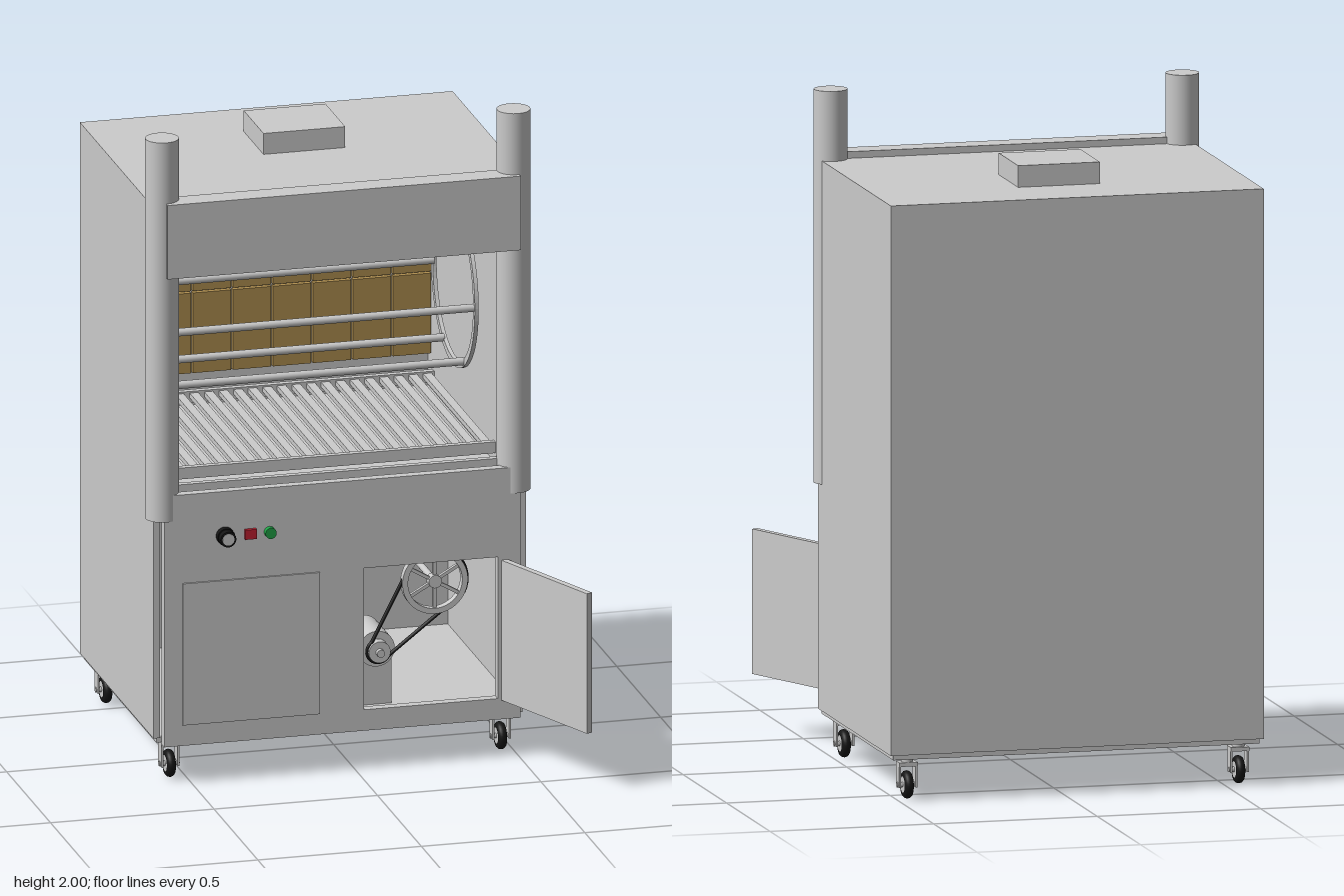
import * as THREE from 'three';

const mat = (color) => new THREE.MeshStandardMaterial({ color });
const GREY = mat(0xcccccc), BRICK = mat(0xb08f50), BLACK = mat(0x151515);
const RED = mat(0xc02030), GREEN = mat(0x20a045);

function add(parent, name, geo, x = 0, y = 0, z = 0, material = GREY) {
  const m = new THREE.Mesh(geo, material);
  m.name = name;
  m.position.set(x, y, z);
  parent.add(m);
  return m;
}

// box given by its limits on each axis
function slab(parent, name, [x0, x1], [y0, y1], [z0, z1], material = GREY) {
  return add(parent, name, new THREE.BoxGeometry(x1 - x0, y1 - y0, z1 - z0),
    (x0 + x1) / 2, (y0 + y1) / 2, (z0 + z1) / 2, material);
}

// cylinders lying along x or z
const alongZ = (r, len, n = 32) => new THREE.CylinderGeometry(r, r, len, n).rotateX(Math.PI / 2);
const alongX = (r, len, n = 24) => new THREE.CylinderGeometry(r, r, len, n).rotateZ(Math.PI / 2);

function rectPath(Type, x0, x1, y0, y1) {
  const p = new Type();
  p.moveTo(x0, y0);
  p.lineTo(x1, y0);
  p.lineTo(x1, y1);
  p.lineTo(x0, y1);
  p.closePath();
  return p;
}

function ring(outer, inner, depth) {
  const s = new THREE.Shape().absarc(0, 0, outer, 0, Math.PI * 2);
  s.holes.push(new THREE.Path().absarc(0, 0, inner, 0, Math.PI * 2, true));
  return new THREE.ExtrudeGeometry(s, { depth, bevelEnabled: false, curveSegments: 40 })
    .translate(0, 0, -depth / 2);
}

function buildCabinet(g) {
  slab(g, 'leftWall', [0.51, 0.53], [0.14, 1.77], [-0.62, 0.22]);
  slab(g, 'rightWall', [-0.61, -0.59], [0.14, 1.77], [-0.62, 0.22]);
  slab(g, 'backWall', [-0.59, 0.51], [0.14, 1.77], [-0.62, -0.6]);
  slab(g, 'roof', [-0.61, 0.53], [1.77, 1.79], [-0.62, 0.22]);
  slab(g, 'basePlate', [-0.6, 0.52], [0.125, 0.142], [-0.61, 0.215]);
  slab(g, 'fireboxFloor', [-0.59, 0.51], [0.87, 0.89], [-0.6, 0.22]);
  slab(g, 'fireboxLeftLining', [0.45, 0.51], [0.89, 1.77], [-0.6, 0.2]);
  slab(g, 'fireboxRightLining', [-0.59, -0.53], [0.89, 1.77], [-0.6, 0.2]);
  slab(g, 'hood', [-0.58, 0.5], [1.58, 1.81], [0.195, 0.27]);
  slab(g, 'chimney', [-0.165, 0.085], [1.79, 1.855], [-0.41, -0.185]);
  for (const x of [-0.58, 0.495])
    add(g, 'column', new THREE.CylinderGeometry(0.05, 0.05, 1.18, 48), x, 1.41, 0.205);

  // front panel with the service opening
  const s = rectPath(THREE.Shape, -0.585, 0.505, 0.12, 0.9);
  s.holes.push(rectPath(THREE.Path, 0.025, 0.435, 0.185, 0.625));
  add(g, 'frontPanel', new THREE.ExtrudeGeometry(s, { depth: 0.03, bevelEnabled: false }), 0, 0, 0.22);
  slab(g, 'closedDoor', [-0.53, -0.11], [0.185, 0.625], [0.245, 0.256]);

  // open door, hinged on its left edge
  const hinge = new THREE.Group();
  hinge.name = 'openDoor';
  hinge.position.set(0.455, 0, 0.25);
  hinge.rotation.y = -Math.atan2(0.37, 0.16);
  slab(hinge, 'doorPanel', [0, 0.405], [0.18, 0.615], [-0.01, 0.01]);
  g.add(hinge);
}

function buildFirebox(g) {
  // brick back lining
  slab(g, 'brickBacking', [-0.53, 0.45], [1.0, 1.765], [-0.6, -0.572]);
  const w = 0.98 / 8, h = 0.255;
  for (let r = 0; r < 3; r++)
    for (let c = 0; c < 8; c++)
      add(g, 'brick', new THREE.BoxGeometry(w - 0.006, h - 0.006, 0.03),
        -0.53 + w * (c + 0.5), 1 + h * (r + 0.5), -0.57, BRICK);

  // grill with slats running front to back
  for (const z of [0.155, -0.54])
    slab(g, 'grillRail', [-0.53, 0.45], [0.92, 0.955], [z - 0.01, z + 0.01]);
  for (let i = 0; i < 22; i++) {
    const x = -0.508 + i * 0.0446;
    slab(g, 'grillSlat', [x - 0.013, x + 0.013], [0.935, 0.95], [-0.54, 0.155]);
  }
  slab(g, 'dripLip', [-0.53, 0.45], [0.89, 0.915], [0.18, 0.2]);

  // turning rack: two rings joined by six bars
  const rack = new THREE.Group();
  rack.name = 'turningRack';
  rack.position.set(-0.04, 1.33, -0.21);
  for (const x of [-0.467, 0.467])
    add(rack, 'rackRing', ring(0.25, 0.23, 0.012).rotateY(Math.PI / 2), x);
  for (let i = 0; i < 6; i++) {
    const a = i * Math.PI / 3;
    add(rack, 'rackBar', alongX(0.012, 0.93, 16), 0, 0.235 * Math.sin(a), 0.235 * Math.cos(a));
  }
  g.add(rack);
}

function buildDrive(g) {
  const A = new THREE.Vector2(0.105, 0.32), B = new THREE.Vector2(0.275, 0.525), z = 0.12;
  const rA = 0.035, rB = 0.1;

  // spoked pulley
  const pulley = new THREE.Group();
  pulley.name = 'spokedPulley';
  pulley.position.set(B.x, B.y, z);
  add(pulley, 'rim', ring(rB, 0.083, 0.025));
  add(pulley, 'hub', alongZ(0.02, 0.03));
  add(pulley, 'shaft', alongZ(0.01, 0.2), 0, 0, -0.09);
  for (let i = 0; i < 6; i++) {
    const a = i * Math.PI / 3 + Math.PI / 6;
    const spoke = add(pulley, 'spoke', new THREE.BoxGeometry(0.07, 0.01, 0.012),
      0.052 * Math.cos(a), 0.052 * Math.sin(a), 0);
    spoke.rotation.z = a;
  }
  g.add(pulley);

  // motor
  add(g, 'motorBody', alongZ(0.055, 0.16), A.x, A.y, z - 0.1);
  add(g, 'motorPulley', alongZ(0.033, 0.03), A.x, A.y, z);
  add(g, 'motorShaft', alongZ(0.012, 0.06), A.x, A.y, z);
  slab(g, 'motorMount', [A.x - 0.05, A.x + 0.05], [0.142, 0.28], [z - 0.16, z - 0.04]);

  // belt: two arcs joined by tangents
  const d = B.clone().sub(A), phi = d.angle(), t = Math.acos((rB - rA) / d.length());
  const pts = [];
  const arc = (c, r, a0, a1) => {
    for (let i = 0; i <= 16; i++) {
      const a = a0 + (a1 - a0) * i / 16;
      pts.push(new THREE.Vector3(c.x + r * Math.cos(a), c.y + r * Math.sin(a), z));
    }
  };
  arc(B, rB, phi - t, phi + t);
  arc(A, rA, phi + t, phi + 2 * Math.PI - t);
  const path = new THREE.CurvePath();
  pts.forEach((p, i) => path.add(new THREE.LineCurve3(p, pts[(i + 1) % pts.length])));
  add(g, 'belt', new THREE.TubeGeometry(path, 120, 0.006, 8, true), 0, 0, 0, BLACK);
}

function buildControls(g) {
  const y = 0.763;
  add(g, 'knobBase', alongZ(0.027, 0.02), -0.4, y, 0.26, BLACK);
  add(g, 'knob', alongZ(0.024, 0.025), -0.4, y, 0.28, BLACK);
  add(g, 'knobFace', alongZ(0.018, 0.004), -0.4, y, 0.292);
  add(g, 'redSwitch', new THREE.BoxGeometry(0.035, 0.03, 0.015), -0.323, y, 0.255, RED);
  add(g, 'greenLamp', alongZ(0.017, 0.02), -0.263, y, 0.258, GREEN);
}

function buildCaster(x, z) {
  const c = new THREE.Group();
  c.name = 'caster';
  c.position.set(x, 0, z);
  add(c, 'tyre', new THREE.TorusGeometry(0.028, 0.014, 12, 32).rotateY(Math.PI / 2), 0, 0.042, 0, BLACK);
  add(c, 'wheelCentre', alongX(0.027, 0.026), 0, 0.042, 0);
  add(c, 'axle', alongX(0.008, 0.062, 12), 0, 0.042, 0);
  for (const s of [-1, 1])
    add(c, 'forkSide', new THREE.BoxGeometry(0.006, 0.07, 0.036), s * 0.025, 0.07, 0);
  add(c, 'forkTop', new THREE.BoxGeometry(0.056, 0.012, 0.044), 0, 0.105, 0);
  add(c, 'stem', new THREE.CylinderGeometry(0.018, 0.018, 0.02, 20), 0, 0.118, 0);
  return c;
}

export function createModel() {
  const g = new THREE.Group();
  g.name = 'rotisserieGrill';
  buildCabinet(g);
  buildFirebox(g);
  buildDrive(g);
  buildControls(g);
  for (const x of [-0.548, 0.465])
    for (const z of [0.165, -0.56]) g.add(buildCaster(x, z));
  return g;
}
